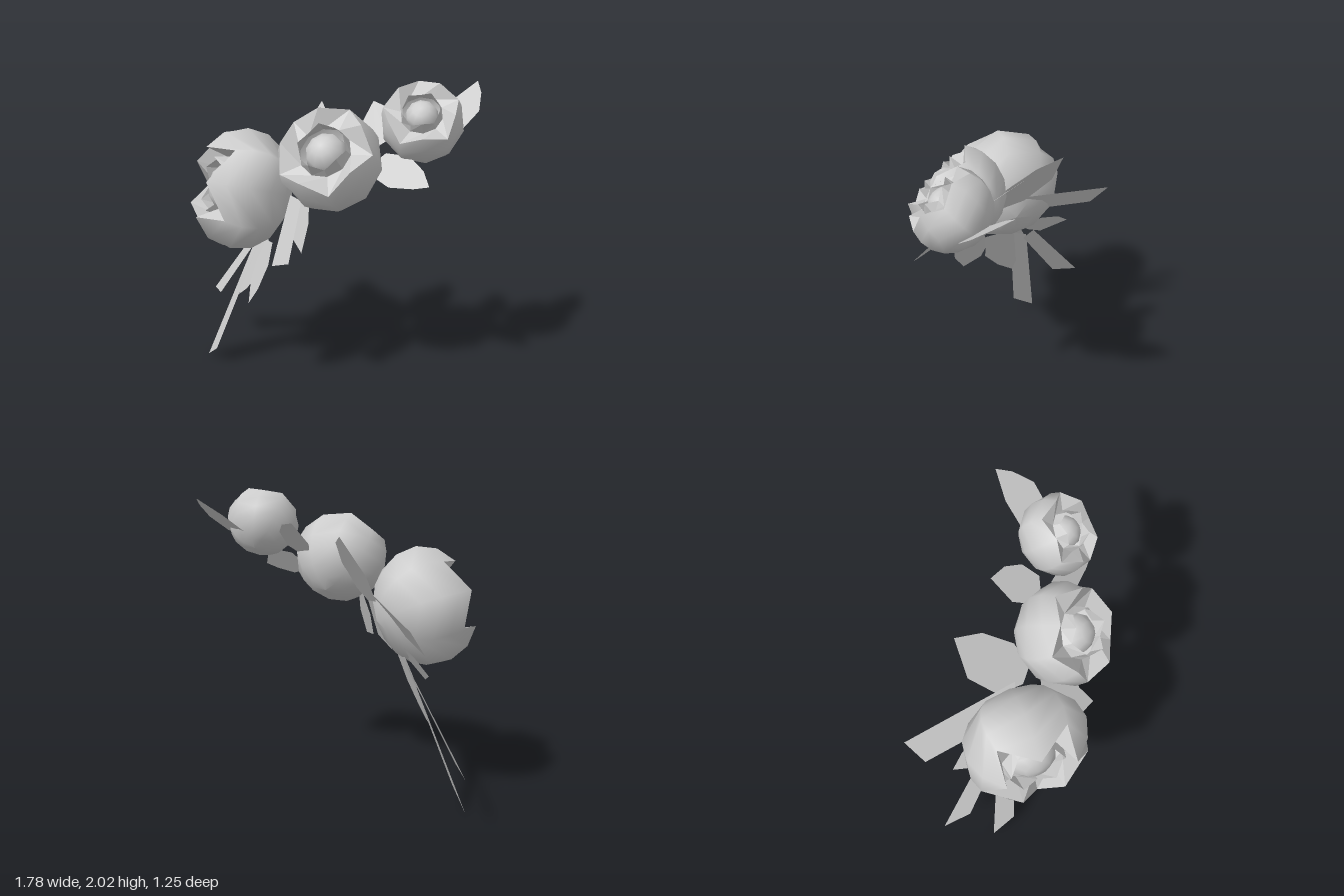
import * as THREE from 'three';

const grey = new THREE.MeshStandardMaterial({ color: 0xcccccc, side: THREE.DoubleSide });
grey.name = 'grey';

// Surface through a list of rings of points, each ring closed
function loft(rings, smooth) {
  const n = rings[0].length, pos = [], idx = [];
  rings.forEach(r => r.forEach(p => pos.push(...p)));
  for (let i = 0; i < rings.length - 1; i++) {
    for (let j = 0; j < n; j++) {
      const a = i * n + j, b = i * n + (j + 1) % n;
      idx.push(a, a + n, b, b, a + n, b + n);
    }
  }
  let g = new THREE.BufferGeometry();
  g.setAttribute('position', new THREE.Float32BufferAttribute(pos, 3));
  g.setIndex(idx);
  if (!smooth) g = g.toNonIndexed();
  g.computeVertexNormals();
  return g;
}

// Ring of points on a unit sphere; angle(j) is measured from the open pole (+y)
const SIDES = 10;
function sphereRing(angle) {
  return Array.from({ length: SIDES }, (_, j) => {
    const t = angle(j), a = j / SIDES * Math.PI * 2;
    return [Math.sin(t) * Math.cos(a), Math.cos(t), Math.sin(t) * Math.sin(a)];
  });
}

function mesh(name, geometry) {
  const m = new THREE.Mesh(geometry, grey);
  m.name = name;
  return m;
}

// Rose: wide round cup with five petal tips, folded petals and a closed bud inside
function rose(name, { radius, depth, centre, axis, spin, tip, notch }) {
  const rose = new THREE.Group();
  rose.name = name;
  const rim = j => (j % 2 ? notch : tip);
  const cup = [];
  for (let i = 0; i <= 6; i++) {
    cup.push(sphereRing(j => Math.PI - 0.001 - (Math.PI - rim(j)) * i / 6));
  }
  const throat = sphereRing(() => Math.PI / 2).map(p => [p[0] * 0.5, 0.3, p[2] * 0.5]);
  const collar = throat.map((p, j) => [p[0] * 0.9, j % 2 ? 0.48 : 0.64, p[2] * 0.9]);
  rose.add(mesh('outerPetals', loft(cup, true)));
  rose.add(mesh('foldedPetals', loft([sphereRing(rim), throat], false)));
  rose.add(mesh('innerPetals', loft([throat, collar], false)));
  const bud = mesh('bud', new THREE.SphereGeometry(0.4, 10, 6));
  bud.position.y = 0.22;
  rose.add(bud);
  rose.scale.set(radius, radius * depth, radius);
  rose.position.set(...centre);
  rose.quaternion.setFromUnitVectors(new THREE.Vector3(0, 1, 0), new THREE.Vector3(...axis).normalize());
  rose.rotateY(spin);
  return rose;
}

// Flat leaf or ribbon: the outline, tip first, is pressed onto its mean plane
function blade(name, outline) {
  const pts = outline.map(p => new THREE.Vector3(...p));
  const middle = new THREE.Vector3(), normal = new THREE.Vector3();
  pts.forEach((p, i) => {
    middle.addScaledVector(p, 1 / pts.length);
    normal.add(p.clone().cross(pts[(i + 1) % pts.length]));
  });
  const plane = new THREE.Plane().setFromNormalAndCoplanarPoint(normal.normalize(), middle);
  const flat = pts.map(p => plane.projectPoint(p, new THREE.Vector3()));
  const idx = [];
  for (let i = 1; i < flat.length - 1; i++) idx.push(0, i, i + 1);
  const g = new THREE.BufferGeometry().setFromPoints(flat);
  g.setIndex(idx);
  g.computeVertexNormals();
  return mesh(name, g);
}

export function createModel() {
  const model = new THREE.Group();
  model.name = 'roseSpray';

  model.add(
    rose('largeRose', { radius: 0.39, depth: 0.82, centre: [-0.55, 1.31, 0.075], axis: [-0.9, 0.25, 0.3], spin: 0.3, tip: 0.62, notch: 1.15 }),
    rose('middleRose', { radius: 0.31, depth: 0.95, centre: [0.02, 1.58, 0.335], axis: [-0.25, 0.65, 0.7], spin: 0.31, tip: 0.95, notch: 1.2 }),
    rose('smallRose', { radius: 0.24, depth: 0.93, centre: [0.545, 1.805, 0.32], axis: [-0.12, 0.68, 0.66], spin: 0.94, tip: 0.95, notch: 1.2 })
  );

  // Leaves
  const leaves = {
    smallRoseLeaf: [[0.89, 1.98, -0.02], [0.75, 1.86, 0.02], [0.61, 1.76, 0.13], [0.66, 1.72, 0.22], [0.78, 1.74, 0.27], [0.88, 1.84, 0.2], [0.9, 1.93, 0.08]],
    upperLeaf: [[0.27, 1.84, -0.08], [0.19, 1.69, 0.03], [0.2, 1.63, 0.13], [0.28, 1.62, 0.21], [0.36, 1.66, 0.2], [0.39, 1.76, 0.1], [0.35, 1.82, 0]],
    lowerLeaf: [[0.58, 1.49, 0.55], [0.5, 1.455, 0.5], [0.36, 1.445, 0.43], [0.28, 1.48, 0.36], [0.28, 1.55, 0.28], [0.35, 1.6, 0.27], [0.48, 1.61, 0.36], [0.55, 1.56, 0.47]],
    backLeaf: [[-0.06, 1.79, -0.3], [-0.2, 1.54, -0.25], [-0.26, 1.365, -0.07], [-0.2, 1.345, 0.085], [-0.1, 1.4, 0.11], [-0.02, 1.58, 0.03], [-0.02, 1.74, -0.14]],
    hangingLeaf: [[-0.6, 0.55, 0.01], [-0.52, 0.64, 0.11], [-0.45, 0.78, 0.2], [-0.37, 1.0, 0.19], [-0.42, 1.03, -0.05], [-0.5, 0.9, -0.09]],
    frontHangingLeaf: [[-0.49, 0.66, 0.36], [-0.41, 0.78, 0.41], [-0.345, 0.94, 0.41], [-0.33, 1.05, 0.32], [-0.38, 1.02, 0.2], [-0.44, 0.88, 0.18], [-0.48, 0.75, 0.23]],
    rearHangingLeaf: [[-0.6, 0.98, -0.38], [-0.52, 1.07, -0.31], [-0.45, 1.11, -0.19], [-0.4, 1.05, -0.05], [-0.5, 0.98, -0.1], [-0.58, 0.91, -0.19]],
    innerLeaf: [[-0.15, 1.04, 0.455], [-0.1, 1.21, 0.4], [-0.1, 1.35, 0.27], [-0.15, 1.37, 0.19], [-0.19, 1.22, 0.19], [-0.2, 1.06, 0.29]]
  };
  for (const [name, outline] of Object.entries(leaves)) model.add(blade(name, outline));

  // Ribbons
  const ribbons = [
    [[-0.5, 1.31, -0.64], [-0.59, 1.15, -0.53], [-0.33, 1.22, 0.02], [-0.2, 1.41, 0.03]],
    [[-0.85, 0.37, -0.48], [-0.78, 0.41, -0.3], [-0.47, 0.92, -0.07], [-0.45, 1.0, -0.14]],
    [[-0.86, 0, -0.15], [-0.77, 0.13, 0], [-0.42, 1.0, 0.02], [-0.47, 0.95, -0.09]],
    [[-0.33, 0.93, 0.4], [-0.21, 1.0, 0.53], [-0.15, 1.33, 0.35], [-0.22, 1.32, 0.22]]
  ];
  ribbons.forEach((outline, i) => model.add(blade('ribbon' + (i + 1), outline)));

  return model;
}
